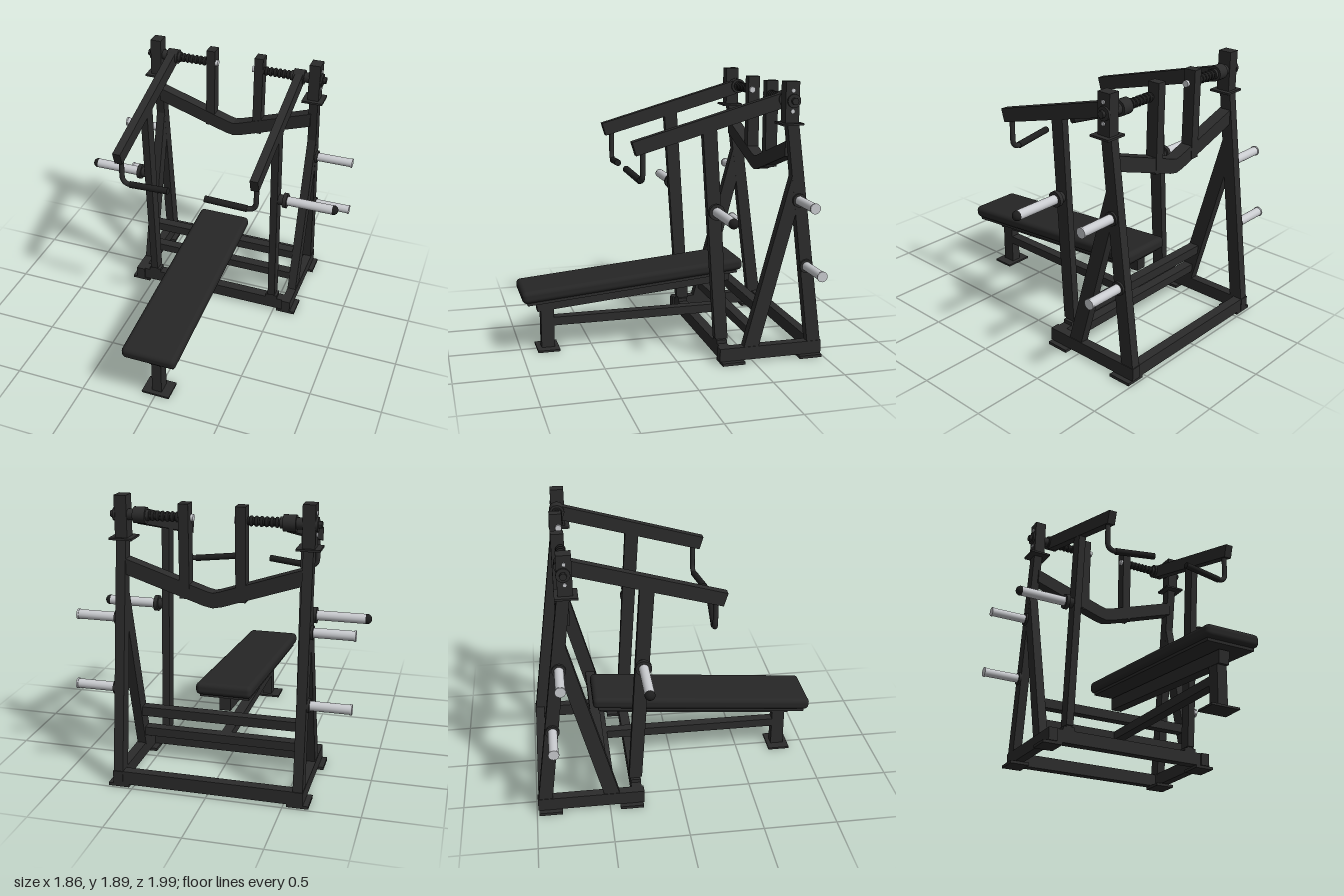
import * as THREE from 'three';
import { RoundedBoxGeometry } from 'three/addons/geometries/RoundedBoxGeometry.js';

export function createModel() {
  const model = new THREE.Group();
  model.name = 'inclinePressMachine';
  const mat = (name, color) => {
    const m = new THREE.MeshStandardMaterial({ color });
    m.name = name;
    return m;
  };
  const frame = mat('blackFrame', 0x2b2b2b);
  const vinyl = mat('padVinyl', 0x262626);
  const rubber = mat('darkRubber', 0x1e1e1e);
  const steel = mat('brightSteel', 0xc9cbcf);

  const add = (name, geo, material, x = 0, y = 0, z = 0) => {
    const mesh = new THREE.Mesh(geo, material);
    mesh.name = name;
    mesh.position.set(x, y, z);
    model.add(mesh);
    return mesh;
  };
  // Box given by its limits on each axis
  const block = (name, x0, x1, y0, y1, z0, z1, material = frame) =>
    add(name, new THREE.BoxGeometry(Math.abs(x1 - x0), y1 - y0, z1 - z0), material,
      (x0 + x1) / 2, (y0 + y1) / 2, (z0 + z1) / 2);
  // Bar with a side outline of [z, y] points, centred on x
  const sideBar = (name, pts, x, width) => {
    const shape = new THREE.Shape(pts.map(p => new THREE.Vector2(p[0], p[1])));
    const geo = new THREE.ExtrudeGeometry(shape, { depth: width, bevelEnabled: false });
    geo.translate(0, 0, -width / 2).rotateY(-Math.PI / 2);
    return add(name, geo, frame, x);
  };
  // Round bar along x
  const rod = (name, x0, x1, r, y, z, material = frame, sides = 24) => {
    const geo = new THREE.CylinderGeometry(r, r, Math.abs(x1 - x0), sides).rotateZ(Math.PI / 2);
    return add(name, geo, material, (x0 + x1) / 2, y, z);
  };

  // Base cross beams and bench support beams
  block('frontBaseBeam', -0.57, 0.57, 0.02, 0.11, -0.345, -0.275);
  block('rearBaseBeam', -0.57, 0.57, 0.02, 0.11, -0.985, -0.92);
  block('lowerCrossBeam', -0.57, 0.57, 0.17, 0.23, -0.54, -0.47);
  block('upperCrossBeam', -0.57, 0.57, 0.335, 0.4, -0.585, -0.515);
  block('lowerSpine', -0.035, 0.035, 0.17, 0.23, -0.48, 0.78);

  // Bench
  block('benchFoot', -0.1, 0.1, 0, 0.014, 0.735, 0.89);
  block('benchLeg', -0.035, 0.035, 0.01, 0.32, 0.765, 0.857);
  sideBar('benchBeam', [[0.89, 0.367], [0.88, 0.28], [-0.515, 0.405], [-0.515, 0.492]], 0, 0.075);
  const tilt = Math.atan(0.088);
  const board = add('padBoard', new THREE.BoxGeometry(0.34, 0.022, 1.5), frame, 0, 0.445, 0.215);
  board.rotation.x = tilt;
  const pad = add('benchPad', new RoundedBoxGeometry(0.385, 0.085, 1.573, 4, 0.032), vinyl, 0, 0.495, 0.215);
  pad.rotation.x = tilt;

  // Shallow V beam joining the tops of the side frames
  const v = new THREE.Shape();
  [[-0.58, 1.395], [-0.06, 1.222], [0, 1.21], [0.06, 1.222], [0.58, 1.395],
    [0.58, 1.497], [0.04, 1.317], [0, 1.308], [-0.04, 1.317], [-0.58, 1.497]]
    .forEach(([x, y], i) => (i ? v.lineTo(x, y) : v.moveTo(x, y)));
  add('upperVBeam', new THREE.ExtrudeGeometry(v, { depth: 0.085, bevelEnabled: false }), frame, 0, 0, -0.792);

  for (const s of [1, -1]) {
    // Side frame
    block('sideBaseRail', s * 0.565, s * 0.63, 0.02, 0.11, -0.99, -0.262);
    for (const z of [-0.35, -0.905]) block('footPlate', s * 0.525, s * 0.665, 0, 0.02, z - 0.08, z + 0.08);
    sideBar('rearPost', [[-0.89, 0.1], [-0.985, 0.1], [-0.78, 1.62], [-0.7, 1.62]], s * 0.595, 0.063);
    sideBar('diagonalLeg', [[-0.43, 0.1], [-0.535, 0.1], [-0.8, 1.1], [-0.745, 1.27]], s * 0.595, 0.062);
    block('postHead', s * 0.555, s * 0.635, 1.61, 1.89, -0.775, -0.68);
    block('headPlate', s * 0.52, s * 0.67, 1.608, 1.622, -0.797, -0.65);
    block('innerUpright', s * 0.148, s * 0.213, 1.26, 1.86, -0.795, -0.71);

    // Pivot shaft, ribbed bushing and bolts
    const py = 1.765, pz = -0.735;
    rod('pivotShaft', s * 0.2, s * 0.67, 0.022, py, pz);
    rod('shaftEnd', s * 0.13, s * 0.16, 0.022, py, pz, steel);
    rod('bushing', s * 0.21, s * 0.42, 0.025, py, pz, rubber);
    for (let i = 0; i < 6; i++) {
      const rib = add('bushingRib', new THREE.TorusGeometry(0.023, 0.011, 8, 24), rubber, s * (0.235 + i * 0.032), py, pz);
      rib.rotation.y = Math.PI / 2;
    }
    rod('innerCollar', s * 0.415, s * 0.44, 0.036, py, pz);
    rod('armHub', s * 0.435, s * 0.515, 0.052, py, pz);
    rod('outerSpacer', s * 0.51, s * 0.56, 0.036, py, pz);
    rod('bearingDisc', s * 0.63, s * 0.648, 0.045, py, pz);
    rod('shaftNut', s * 0.645, s * 0.668, 0.024, py, pz, rubber, 6);
    for (const dy of [-0.067, 0.067]) rod('headBolt', s * 0.63, s * 0.643, 0.013, py + dy, -0.727, steel, 12);

    // Press arm and upright lever
    sideBar('pressArm', [[0.308, 1.515], [0.28, 1.425], [-0.72, 1.705], [-0.75, 1.79], [-0.7, 1.802]], s * 0.479, 0.056);
    sideBar('lever', [[-0.265, 0.145], [-0.355, 0.137], [-0.26, 1.58], [-0.165, 1.57]], s * 0.479, 0.052);
    block('leverPivot', s * 0.457, s * 0.5, 0.1, 0.16, -0.345, -0.275);
    block('leverBracket', s * 0.435, s * 0.522, 0.108, 0.135, -0.345, -0.275);

    // Handle and grip
    const P = (x, y, z) => new THREE.Vector3(s * x, y, z);
    const path = new THREE.CurvePath();
    path.add(new THREE.LineCurve3(P(0.479, 1.46, 0.233), P(0.479, 1.31, 0.233)));
    path.add(new THREE.QuadraticBezierCurve3(P(0.479, 1.31, 0.233), P(0.479, 1.243, 0.233), P(0.41, 1.25, 0.238)));
    path.add(new THREE.LineCurve3(P(0.41, 1.25, 0.238), P(0.14, 1.276, 0.262)));
    add('handleTube', new THREE.TubeGeometry(path, 48, 0.018, 12), frame);
    const a = P(0.42, 1.249, 0.237), b = P(0.13, 1.277, 0.263);
    const grip = add('handGrip', new THREE.CylinderGeometry(0.023, 0.023, a.distanceTo(b), 20), rubber);
    grip.position.copy(a).lerp(b, 0.5);
    grip.quaternion.setFromUnitVectors(new THREE.Vector3(0, 1, 0), b.clone().sub(a).normalize());

    // Loading horn on the lever
    const hy = 1.04, hz = -0.247;
    rod('leverHornHub', s * 0.49, s * 0.545, 0.037, hy, hz);
    rod('leverHornFlange', s * 0.54, s * 0.568, 0.054, hy, hz);
    rod('leverHorn', s * 0.565, s * 0.905, 0.033, hy, hz, steel);
    const cap = add('hornCap', new THREE.SphereGeometry(0.034, 20, 12), rubber, s * 0.9, hy, hz);
    cap.scale.x = 0.95;

    // Storage horns on the rear post
    for (const [y, z] of [[1.105, -0.795], [0.65, -0.86]]) {
      rod('storageFlange', s * 0.62, s * 0.642, 0.046, y, z);
      rod('storageHorn', s * 0.64, s * 0.9, 0.031, y, z, steel);
      rod('storageHornLip', s * 0.89, s * 0.902, 0.035, y, z, steel);
    }
  }
  return model;
}
